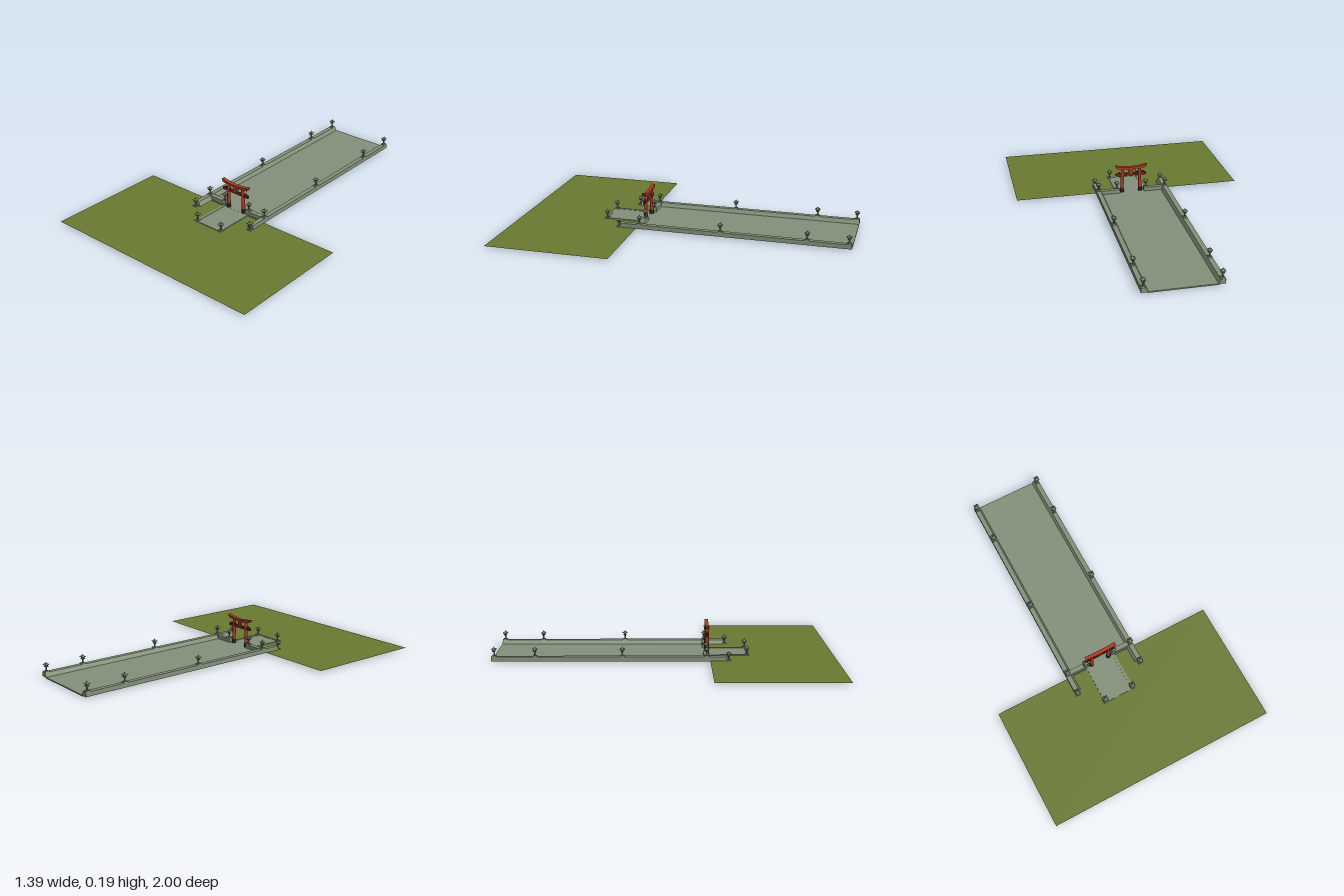
import * as THREE from 'three';

const stone = new THREE.MeshStandardMaterial({ color: 0x84917a });
stone.name = 'mossy stone';
const lanternStone = new THREE.MeshStandardMaterial({ color: 0x717d6b });
lanternStone.name = 'lantern stone';
const grass = new THREE.MeshStandardMaterial({ color: 0x6b7a33, side: THREE.DoubleSide });
grass.name = 'grass';
const red = new THREE.MeshStandardMaterial({ color: 0xa93c25 });
red.name = 'vermilion';
const darkRed = new THREE.MeshStandardMaterial({ color: 0x6a2616 });
darkRed.name = 'dark red';
const black = new THREE.MeshStandardMaterial({ color: 0x222322 });
black.name = 'black';

const AXIS = -0.02; // centre line of causeway

function add(parent, name, geometry, material, x = 0, y = 0, z = 0) {
  const m = new THREE.Mesh(geometry, material);
  m.name = name;
  m.position.set(x, y, z);
  parent.add(m);
  return m;
}

// Box given by its limits
function block(parent, name, material, x0, x1, y0, y1, z0, z1) {
  return add(parent, name, new THREE.BoxGeometry(Math.abs(x1 - x0), y1 - y0, z1 - z0), material,
    (x0 + x1) / 2, (y0 + y1) / 2, (z0 + z1) / 2);
}

// Small square stone lantern, 0.06 high
function lantern(x, y, z) {
  const g = new THREE.Group();
  g.name = 'lantern';
  const square = (r0, r1, h) => new THREE.CylinderGeometry(r0, r1, h, 4).rotateY(Math.PI / 4).toNonIndexed();
  const part = (name, top, bottom, y0, y1) => {
    const geo = square(top * Math.SQRT2, bottom * Math.SQRT2, y1 - y0);
    geo.computeVertexNormals();
    add(g, name, geo, lanternStone, 0, (y0 + y1) / 2, 0);
  };
  part('lanternBase', 0.011, 0.014, 0, 0.006);
  add(g, 'lanternShaft', new THREE.CylinderGeometry(0.004, 0.005, 0.022, 8), lanternStone, 0, 0.017, 0);
  part('lanternTray', 0.011, 0.006, 0.027, 0.032);
  part('lanternFireBox', 0.007, 0.006, 0.032, 0.042);
  part('lanternRoof', 0.003, 0.015, 0.042, 0.051);
  add(g, 'lanternFinial', new THREE.ConeGeometry(0.004, 0.01, 8), lanternStone, 0, 0.055, 0);
  g.position.set(x, y, z);
  return g;
}

// Long side wall with a sloped inner face
function sideWall(s) {
  const p = new THREE.Shape([
    [0.225, 0.008], [0.225, 0.034], [0.197, 0.034], [0.184, 0.008],
  ].map(([x, y]) => new THREE.Vector2(s * x, y)));
  return new THREE.ExtrudeGeometry(p, { depth: 1.362, bevelEnabled: false });
}

function createGate() {
  const g = new THREE.Group();
  g.name = 'gate';
  // Curved top beam
  const s = new THREE.Shape();
  s.moveTo(-0.1, 0.187);
  s.quadraticCurveTo(-0.05, 0.174, 0, 0.174);
  s.quadraticCurveTo(0.05, 0.174, 0.1, 0.187);
  s.lineTo(0.092, 0.169);
  s.quadraticCurveTo(0.05, 0.16, 0, 0.16);
  s.quadraticCurveTo(-0.05, 0.16, -0.092, 0.169);
  s.closePath();
  add(g, 'topBeam', new THREE.ExtrudeGeometry(s, { depth: 0.022, bevelEnabled: false, curveSegments: 8 }), red, 0, 0, -0.011);
  // Lower tie beam and centre strut
  block(g, 'tieBeam', darkRed, -0.095, 0.095, 0.117, 0.133, -0.006, 0.006);
  block(g, 'centreStrut', red, -0.012, 0.012, 0.13, 0.163, -0.007, 0.007);
  for (const side of [-1, 1]) {
    const post = add(g, 'post', new THREE.CylinderGeometry(0.0095, 0.011, 0.157, 16), red, side * 0.0555, 0.0875, 0);
    post.rotation.z = side * 0.03;
    add(g, 'postFoot', new THREE.CylinderGeometry(0.0125, 0.0135, 0.026, 16), black, side * 0.0575, 0.022, 0);
    // Wedges holding the tie beam
    for (const x of [0.041, 0.07]) block(g, 'wedge', darkRed, side * x, side * (x + 0.012), 0.133, 0.141, -0.005, 0.005);
  }
  g.position.set(-0.017, 0, 0.253);
  return g;
}

export function createModel() {
  const model = new THREE.Group();
  model.name = 'shrineCauseway';

  // Lawn
  add(model, 'lawn', new THREE.PlaneGeometry(1.395, 0.735).rotateX(-Math.PI / 2), grass, -0.0025, 0.0085, 0.6325);

  // Causeway deck
  block(model, 'deck', stone, AXIS - 0.19, AXIS + 0.19, 0.004, 0.011, -1, 0.262);

  // Entry path with raised edging
  const path = new THREE.Group();
  path.name = 'entryPath';
  path.position.x = -0.016;
  model.add(path);
  block(path, 'pathSlab', stone, -0.08, 0.08, 0, 0.0105, 0.262, 0.485);
  block(path, 'frontEdging', stone, -0.096, 0.096, 0, 0.0125, 0.485, 0.5);

  for (const s of [-1, 1]) {
    block(path, 'sideEdging', stone, s * 0.08, s * 0.096, 0, 0.0125, 0.262, 0.485);
    add(model, 'sideWall', sideWall(s), stone, AXIS, 0, -1);
    block(model, 'frontWall', stone, AXIS + s * 0.076, AXIS + s * 0.198, 0.008, 0.034, 0.23, 0.258);

    // Lanterns on the walls, then those standing on the ground
    for (const z of [-0.983, -0.747, -0.243, 0.245]) model.add(lantern(AXIS + s * 0.211, 0.034, z));
    model.add(lantern(-0.017 + s * 0.092, 0.034, 0.245));
    model.add(lantern(AXIS + s * 0.211, 0.008, 0.372));
    model.add(lantern(-0.016 + s * 0.09, 0.01, 0.486));
  }

  model.add(createGate());
  return model;
}
